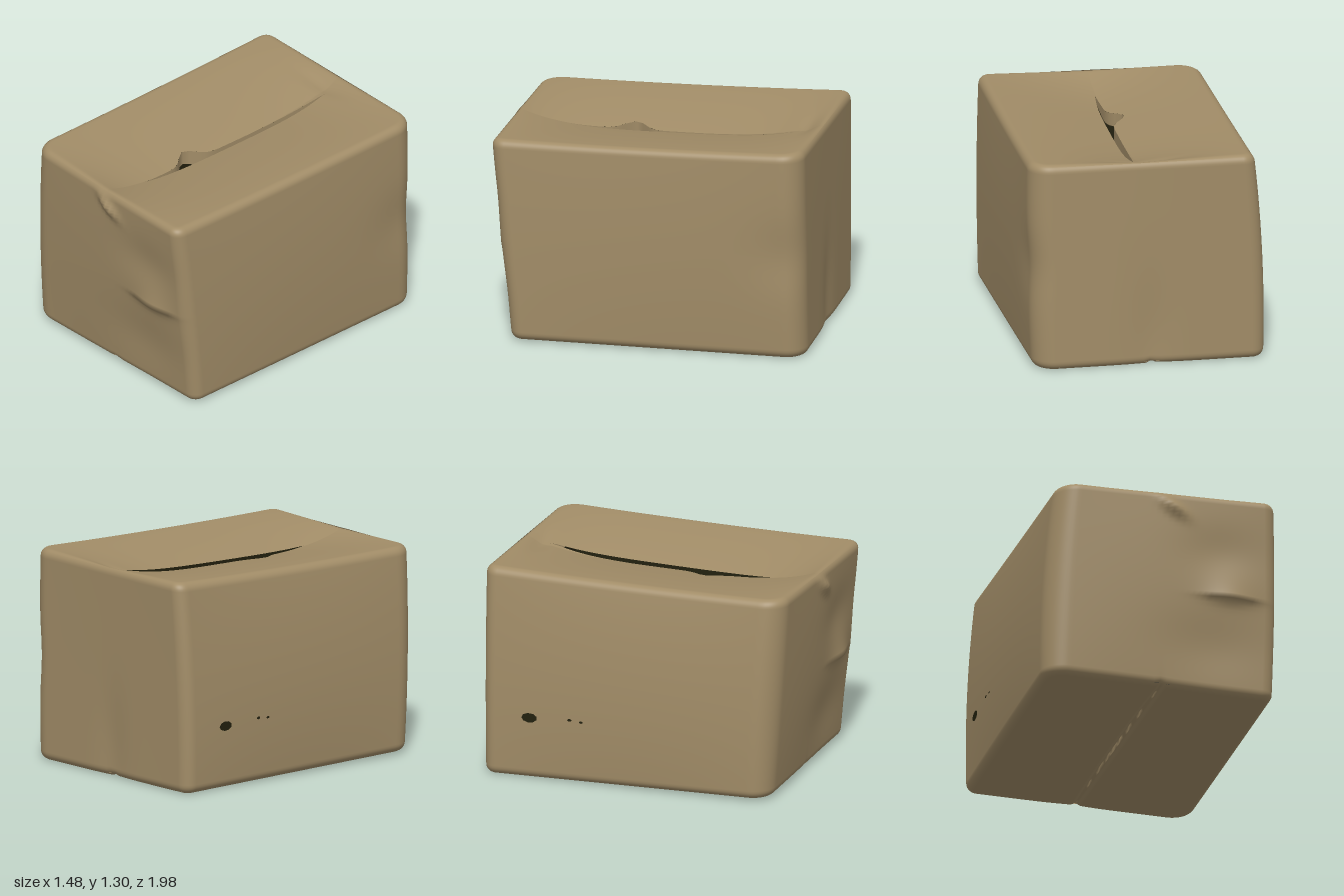
import * as THREE from 'three';

const HALF = [0.7, 0.63, 0.95], EDGE = 0.05, N = 60;

// Eight corners of the battered box, indexed by x + 2y + 4z (low = 0, high = 1)
const CORNERS = [
  [-0.695, 0.01, -0.985], [0.72, 0.01, -0.965], [-0.635, 1.315, -1.0], [0.745, 1.315, -0.945],
  [-0.735, 0.025, 0.84], [0.705, 0.02, 0.855], [-0.67, 1.278, 0.91], [0.675, 1.28, 0.985],
];

const bell = (a, w) => Math.exp(-(a * a) / (w * w));
// A fold: long slope above, sudden step below
const fold = (d, up, down) => (d > 0 ? Math.exp(-d / up) : Math.exp(d / down));
const limit = (v, max) => THREE.MathUtils.clamp(v, -max, max);

// Rounds a unit cube point: crushed vertical corners, then soft top and bottom edges
function rounded(p) {
  const [x, y, z] = p.map((c, i) => c * HALF[i]);
  const R = x * z < 0 ? 0.14 : 0.075;
  const cx = limit(x, HALF[0] - R), cz = limit(z, HALF[2] - R), cy = limit(y, HALF[1] - EDGE);
  const ex = x - cx, ez = z - cz;
  const reach = Math.max(Math.abs(ex), Math.abs(ez));
  const core = Math.min(reach, R - EDGE);
  const over = new THREE.Vector2(reach - core, y - cy).setLength(EDGE);
  const k = (core + over.x) / (Math.hypot(ex, ez) || 1);
  return [(cx + ex * k) / HALF[0], (cy + over.y) / HALF[1], (cz + ez * k) / HALF[2]];
}

// Bends a unit cube point into the crumpled shape
function warp(p, sag) {
  const n = rounded(p);
  const out = [0, 0, 0];
  CORNERS.forEach((corner, k) => {
    const w = n.reduce((a, c, i) => a * ((k >> i) & 1 ? 1 + c : 1 - c) / 2, 1);
    corner.forEach((c, i) => { out[i] += w * c; });
  });
  const [a, b, c] = n;
  const keep = v => Math.max(0, 1 - v * v);
  const [x, y, z] = out;
  // Bulging sides, the right one more, and a pinched back corner
  out[0] += (a < 0 ? 0.042 : 0.022) * a * keep(b) * (0.5 + 0.5 * keep(c));
  if (a > 0) out[0] -= 0.02 * a * bell(y - 0.65, 0.2) * bell(z + 0.9, 0.25);
  // Front wall: torn fold, small slanted lip and shallow dents
  const front = Math.max(0, c) ** 6;
  out[2] += front * (0.04 * bell(x - 0.4, 0.15) * fold(y - 0.62, 0.12, 0.025)
    + 0.035 * bell(x - 0.04, 0.08) * bell(y - 1.17 + 0.5 * (x - 0.04), 0.045)
    - 0.02 * bell(x - 0.35, 0.22) * bell(y - 0.9, 0.16)
    - 0.02 * bell(x - 0.3, 0.3) * bell(y - 0.3, 0.2)
    + 0.02 * keep(a) * keep(b));
  // Back wall: soft ridge
  const back = Math.max(0, -c) ** 6;
  out[2] += back * 0.015 * bell(x, 0.12) * bell(y - 0.2, 0.35);
  // Top sags towards the slit
  const top = Math.max(0, b) ** 8;
  out[1] -= top * sag * (1 - Math.abs(a)) ** 1.4 * (1 - c ** 4);
  out[1] -= top * (0.01 * keep(c) + 0.015 * bell(z + 0.85, 0.05) * bell(x - 0.02, 0.18));
  // Bottom: notch along the seam, right flap pushed in beside it
  const low = Math.max(0, -b) ** 8;
  out[1] += low * (0.015 * bell(x, 0.02) + (x < 0 ? 0.03 * bell(x, 0.2) * keep(c) : 0));
  return out;
}

// Makes a smooth grid; point(u, v) gives positions for u and v from -1 to 1
function panel(name, material, point) {
  const pos = [], nor = [], index = [], e = 0.002;
  const at = (u, v) => new THREE.Vector3(...point(u, v));
  const step = i => Math.sin((i / N - 0.5) * Math.PI);
  for (let j = 0; j <= N; j++) {
    for (let i = 0; i <= N; i++) {
      const u = step(i), v = step(j);
      const du = at(u + e, v).sub(at(u - e, v)), dv = at(u, v + e).sub(at(u, v - e));
      pos.push(...at(u, v).toArray());
      nor.push(...du.cross(dv).normalize().toArray());
      if (i < N && j < N) {
        const k = j * (N + 1) + i;
        index.push(k, k + 1, k + N + 2, k, k + N + 2, k + N + 1);
      }
    }
  }
  const g = new THREE.BufferGeometry();
  g.setAttribute('position', new THREE.Float32BufferAttribute(pos, 3));
  g.setAttribute('normal', new THREE.Float32BufferAttribute(nor, 3));
  g.setIndex(index);
  const mesh = new THREE.Mesh(g, material);
  mesh.name = name;
  return mesh;
}

// Edges of the slit between the top flaps, in unit cube coordinates
const seamMid = z => 0.026 - 0.025 * z;
const gap = z => 0.032 * Math.max(0, 1 - ((z + 0.08) / 0.74) ** 4);
const seamLeft = z => seamMid(z) - gap(z) - 0.14 * bell(z - 0.25, 0.09);
const seamRight = z => seamMid(z) + gap(z);
const SAG = 0.1;

export function createModel() {
  const box = new THREE.Group();
  box.name = 'cardboardBox';
  const card = new THREE.MeshStandardMaterial({ color: 0xa18c67, side: THREE.DoubleSide });
  card.name = 'brown cardboard';
  const dark = new THREE.MeshStandardMaterial({ color: 0x22200e, side: THREE.BackSide });
  dark.name = 'dark interior';
  const mix = THREE.MathUtils.lerp;
  const side = (name, face, sag = 0) => box.add(panel(name, card, (u, v) => warp(face(u, v), sag)));

  // Walls
  side('frontWall', (u, v) => [u, v, 1]);
  side('backWall', (u, v) => [-u, v, -1]);
  side('leftWall', (u, v) => [1, v, -u]);
  side('rightWall', (u, v) => [-1, v, u]);

  // Top flaps meeting at the open slit
  side('topFlapRight', (u, v) => [mix(-1, seamLeft(-v), (u + 1) / 2), 1, -v], SAG);
  side('topFlapLeft', (u, v) => [mix(seamRight(-v), 1, (u + 1) / 2), 1, -v], SAG);

  // Torn lip hanging from the inner edge of the right flap
  box.add(panel('tornLip', card, (u, v) => {
    const [x, y, z] = warp([seamLeft(-u * 0.8), 1, -u * 0.8], SAG);
    return [x, y - (1 - v) * 0.05 * (1 - u * u), z];
  }));

  // Bottom flaps
  side('bottomFlapRight', (u, v) => [mix(-1, 0, (u + 1) / 2), -1, v]);
  side('bottomFlapLeft', (u, v) => [mix(0, 1, (u + 1) / 2), -1, v]);

  // Dark inside, seen only through the slit
  const inside = new THREE.Mesh(new THREE.BoxGeometry(1.22, 1.04, 1.64), dark);
  inside.name = 'interior';
  inside.position.y = 0.61;
  box.add(inside);

  // Small punctures low on the right wall
  for (const [b, c, r] of [[-0.4, -0.67, 0.05], [-0.38, -0.39, 0.014], [-0.39, -0.31, 0.012]]) {
    const hole = new THREE.Mesh(new THREE.CircleGeometry(r, 9), dark);
    const [x, y, z] = warp([-1, b, c], 0);
    hole.name = 'puncture';
    hole.position.set(x - 0.006, y, z);
    hole.rotation.y = Math.PI / 2;
    hole.scale.y = 0.6;
    box.add(hole);
  }
  return box;
}
